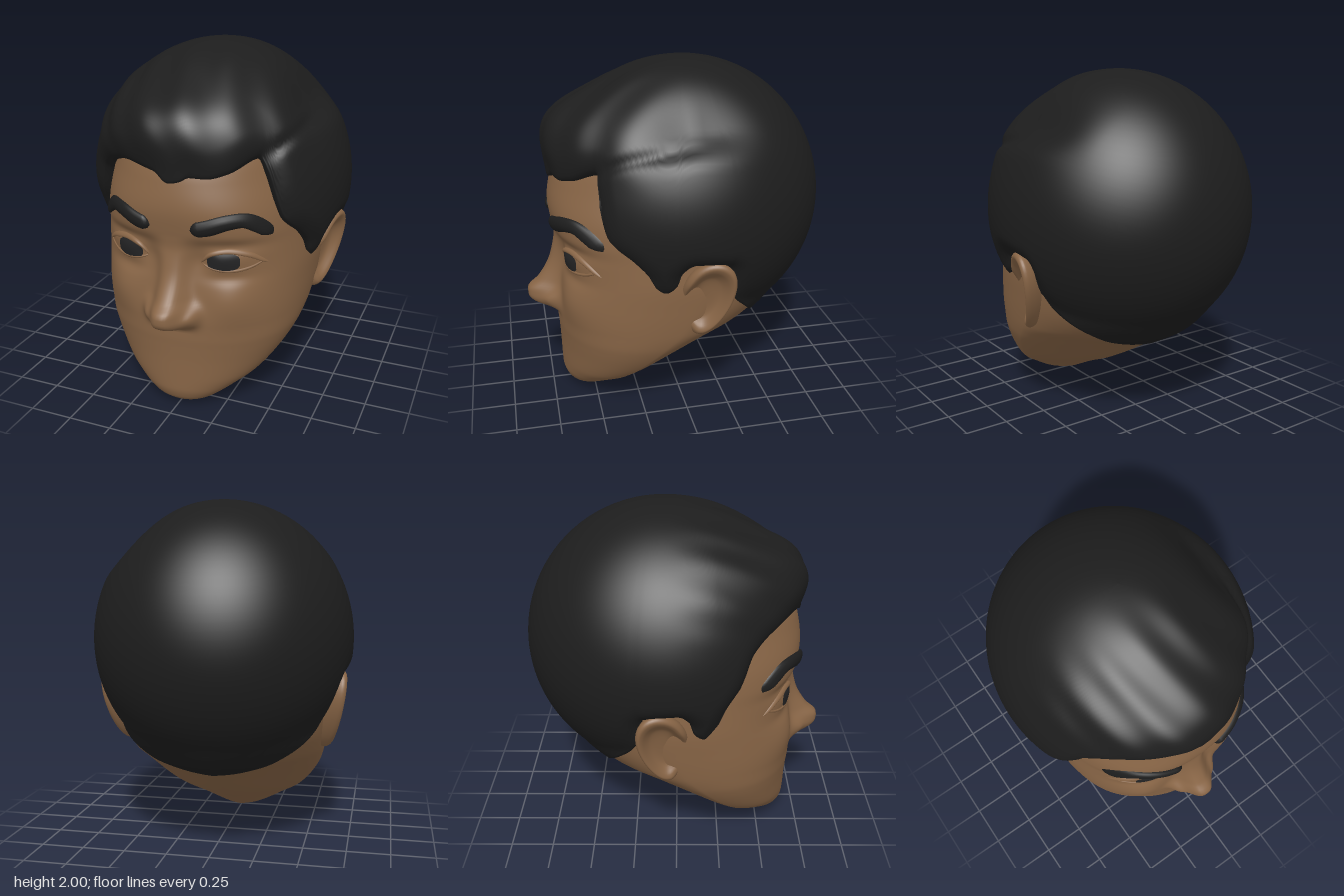
import * as THREE from 'three';

const skin = new THREE.MeshStandardMaterial({ name: 'skin', color: 0x886546 });
const hairMat = new THREE.MeshStandardMaterial({ name: 'black hair', color: 0x1d1d1d });
const irisMat = new THREE.MeshStandardMaterial({ name: 'dark iris', color: 0x232324 });

const clamp = THREE.MathUtils.clamp;
const smooth = THREE.MathUtils.smoothstep;
const bell = (v, s) => Math.exp(-(v * v) / (s * s));
const power = (v, e) => Math.sign(v) * Math.abs(v) ** e;
const rad = Math.PI / 180;

// Smooth table lookup without overshoot; column 0 is the key, column k the value
function look(table, key, k) {
  const n = table.length;
  key = clamp(key, table[0][0], table[n - 1][0]);
  let i = 0;
  while (i < n - 2 && key > table[i + 1][0]) i++;
  const sec = (a) => (table[a + 1][k] - table[a][k]) / (table[a + 1][0] - table[a][0]);
  const slope = (a) => {
    if (a === 0) return sec(0);
    if (a === n - 1) return sec(n - 2);
    const p = sec(a - 1), q = sec(a);
    return p * q <= 0 ? 0 : (2 * p * q) / (p + q);
  };
  const h = table[i + 1][0] - table[i][0], t = (key - table[i][0]) / h;
  const a = t * t * (3 - 2 * t);
  return table[i][k] * (1 - a) + table[i + 1][k] * a +
    h * t * (1 - t) * ((1 - t) * slope(i) - t * slope(i + 1));
}

// Surface from rows of points, each row a closed loop
function loft(rows, cols, at) {
  const pos = [], index = [];
  for (let i = 0; i < rows; i++) for (let j = 0; j < cols; j++) pos.push(...at(i, j));
  for (let i = 0; i < rows - 1; i++) for (let j = 0; j < cols; j++) {
    const a = i * cols + j, b = i * cols + ((j + 1) % cols);
    index.push(a, b, b + cols, a, b + cols, a + cols);
  }
  const g = new THREE.BufferGeometry();
  g.setAttribute('position', new THREE.Float32BufferAttribute(pos, 3));
  g.setIndex(index);
  g.computeVertexNormals();
  return g;
}

// Head slices: height, half width, front z, back z
const SLICES = [
  [0, 0.0005, 0.5305, 0.5295], [0.004, 0.06, 0.58, 0.49], [0.012, 0.1, 0.605, 0.46], [0.03, 0.145, 0.635, 0.42],
  [0.06, 0.2, 0.665, 0.36], [0.12, 0.29, 0.683, 0.24], [0.2, 0.4, 0.685, 0.06], [0.3, 0.485, 0.687, -0.13],
  [0.4, 0.545, 0.692, -0.3], [0.46, 0.57, 0.696, -0.4], [0.55, 0.592, 0.697, -0.55], [0.7, 0.61, 0.682, -0.66],
  [0.85, 0.62, 0.67, -0.72], [0.97, 0.615, 0.68, -0.76], [1.08, 0.605, 0.707, -0.78], [1.2, 0.595, 0.722, -0.79],
  [1.35, 0.58, 0.7, -0.78], [1.5, 0.55, 0.64, -0.72], [1.65, 0.48, 0.52, -0.63], [1.78, 0.36, 0.37, -0.48],
  [1.86, 0.2, 0.18, -0.28], [1.88, 0.01, -0.05, -0.07],
];
// Front and back depths from the widest line, with the roundness of each half
function slice(y) {
  const [w, f, b] = [1, 2, 3].map((k) => look(SLICES, y, k));
  const m = b + (f - b) * 0.49;
  return {
    w, m, front: f - m, back: m - b,
    pf: 2.05 + 0.38 * smooth(y, 0.2, 0.7) * (1 - smooth(y, 1.05, 1.4)),
    pb: 1.38 + 0.62 * smooth(y, 0.3, 0.75),
  };
}

// Nose ridge: height, projection, half breadth
const NOSE = [
  [0.51, 0, 0.11], [0.54, 0.04, 0.108], [0.57, 0.14, 0.105], [0.61, 0.175, 0.102], [0.65, 0.18, 0.097],
  [0.71, 0.125, 0.088], [0.8, 0.075, 0.078], [0.9, 0.04, 0.075], [0.98, 0.015, 0.08], [1.06, 0, 0.085],
];
// Forward relief of the face
function relief(x, y) {
  const ax = Math.abs(x);
  return look(NOSE, y, 1) * Math.exp(-((ax / look(NOSE, y, 2)) ** 3)) +
    0.05 * bell(ax - 0.13, 0.038) * bell(y - 0.615, 0.055) +
    0.035 * bell(ax - 0.34, 0.14) * bell(y - 0.7, 0.13) -
    0.025 * bell(ax - 0.15, 0.06) * bell(y - 0.93, 0.08) -
    0.02 * bell(ax - 0.3, 0.15) * bell(y - 1.01, 0.035) +
    0.01 * bell(ax - 0.3, 0.13) * bell(y - 0.93, 0.05) -
    0.012 * bell(ax - 0.3, 0.12) * bell(y - 0.83, 0.035);
}
function faceZ(x, y) {
  const s = slice(y);
  return s.m + s.front * Math.max(0, 1 - Math.abs(x / s.w) ** s.pf) ** (1 / s.pf) + relief(x, y);
}

function headGeometry() {
  const rows = 150, cols = 200;
  return loft(rows, cols, (i, j) => {
    const t = i / (rows - 1);
    const y = 1.88 * (t < 0.1 ? t * t * 5 : t - 0.05 * (1 - (t - 0.1) / 0.9));
    const s = slice(y), u = (j / cols) * Math.PI * 2, a = u - 0.5 * Math.sin(u);
    const c = Math.cos(a), e = 2 / (c > 0 ? s.pf : s.pb);
    const x = s.w * power(Math.sin(a), e);
    const z = s.m + (c > 0 ? s.front : s.back) * power(c, e);
    return [x, y, z + relief(x, y) * smooth(c, 0, 0.3)];
  });
}

// Hairline: azimuth in degrees from the front (positive to the left side), height
const BACK = [
  [70.5, 0.85], [75, 0.88], [78, 0.97], [84, 1.02], [99, 1], [104, 0.8], [114, 0.69],
  [126, 0.6], [140, 0.525], [160, 0.475], [180, 0.46],
];
const HAIRLINE = [
  ...BACK.map(([a, y]) => [-a, y]).reverse(),
  [-66, 0.91], [-62, 1.02], [-56, 1.13], [-48, 1.3], [-36, 1.38], [-21, 1.418], [-7, 1.4], [0, 1.35], [4, 1.36], [8, 1.385],
  [15, 1.38], [23, 1.4], [37, 1.46], [40.5, 1.36], [43.5, 1.23], [47, 1.13], [57, 1.03], [63, 0.95], [66, 0.88],
  ...BACK,
];
const C = new THREE.Vector3(0, 1.2, -0.07);
const inside = (x, y, z) => {
  if (y <= 0 || y >= 1.88) return false;
  const s = slice(y), d = z - s.m, p = d > 0 ? s.pf : s.pb;
  return Math.abs(x / s.w) ** p + Math.abs(d / (d > 0 ? s.front : s.back)) ** p < 1;
};
function reach(test) {
  let lo = 0, hi = 1.6;
  for (let k = 0; k < 20; k++) {
    const mid = (lo + hi) / 2;
    if (test(mid)) lo = mid; else hi = mid;
  }
  return lo;
}
const PARTING = new THREE.Vector3(-0.584, 0.81, 0.056).normalize();

// Full hair radius in a direction: rounded cap, swept quiff and side parting
function hairRadius(d) {
  let r = 1 / Math.sqrt((d.x / 0.757) ** 2 + (d.y / 0.8) ** 2 + (d.z / 0.8) ** 2);
  r += 0.11 * smooth(d.z, 0, 0.35) * bell(d.x + 0.07, 0.47) * bell(d.y - 0.51, 0.22);
  const g = d.dot(PARTING), left = smooth(d.x, 0.05, 0.35);
  // Narrow crease towards the front, wider flattening above the parting further back
  r -= 0.02 * left * smooth(d.z, -0.1, 0.35) * bell(g, 0.04);
  r -= 0.06 * left * smooth(g, -0.16, 0.13) * bell(Math.max(0, g - 0.12), 0.3) *
    smooth(d.z, -0.6, 0) * (1 - smooth(d.z, 0.1, 0.6));
  return r + 0.006 * smooth(d.z, 0, 0.5) * smooth(d.y, 0.25, 0.5) * Math.sin(22 * (d.x + 0.5 * d.y));
}

function hairGeometry() {
  const rows = 52, cols = 400, edge = [];
  for (let j = 0; j < cols; j++) {
    const deg = (j / cols) * 360, az = deg > 180 ? deg - 360 : deg, y = look(HAIRLINE, az, 1);
    const sx = Math.sin(az * rad), cz = Math.cos(az * rad);
    const h = reach((q) => inside(q * sx, y, C.z + q * cz));
    edge.push(new THREE.Vector3(h * sx, y - C.y, h * cz).normalize());
  }
  return loft(rows, cols, (i, j) => {
    const e = edge[j], t = i < 2 ? 0 : ((i - 1) / (rows - 2)) ** 1.15;
    const low = Math.asin(e.y), el = low + (Math.PI / 2 - low) * t;
    const a = Math.atan2(e.x, e.z);
    const d = new THREE.Vector3(Math.cos(el) * Math.sin(a), Math.sin(el), Math.cos(el) * Math.cos(a));
    const sr = reach((q) => inside(q * d.x, C.y + q * d.y, C.z + q * d.z));
    let near = -1;
    for (const v of edge) near = Math.max(near, v.dot(d));
    const gap = clamp(Math.acos(Math.min(1, near)) / 0.17, 0, 1);
    const base = sr + 0.015, full = Math.max(hairRadius(d), base);
    // Rounded lip at the hairline, tucked into the skin on the first row
    const r = i === 0 ? sr * 0.95 : base + (full - base) * Math.sqrt(1 - (1 - gap) ** 2);
    return d.multiplyScalar(r).add(C).toArray();
  });
}

// Strip lying on the face: points are x, y, half height; mirrored by side
function faceStrip(points, depth, side) {
  const curve = new THREE.CatmullRomCurve3(points.map(([x, y, h]) => new THREE.Vector3(x * side, y, h)));
  const rows = 33, cols = 12;
  return loft(rows, cols, (i, j) => {
    const t = i / (rows - 1), p = curve.getPoint(t), k = curve.getTangent(t);
    const len = Math.hypot(k.x, k.y), a = (j / cols) * Math.PI * 2;
    const end = Math.sqrt(Math.min(1, Math.min(t, 1 - t) * 12));
    const off = p.z * end * Math.cos(a);
    const x = p.x - (k.y / len) * off, y = p.y + (k.x / len) * off;
    return [x, y, faceZ(x, y) + depth * end * Math.sin(a)];
  });
}
const BROW = [[0.115, 1.108, 0.04], [0.2, 1.125, 0.045], [0.3, 1.156, 0.042], [0.38, 1.16, 0.038], [0.44, 1.12, 0.034], [0.49, 1.06, 0.022]];
const UPPER_LID = [[0.15, 0.91, 0.006], [0.21, 0.968, 0.013], [0.3, 0.987, 0.014], [0.4, 0.962, 0.013], [0.48, 0.9, 0.006]];
const LOWER_LID = [[0.16, 0.905, 0.005], [0.22, 0.885, 0.008], [0.31, 0.873, 0.009], [0.4, 0.89, 0.008], [0.46, 0.92, 0.005]];

// Iris plate cut off by the lids
function irisGeometry(side) {
  const rows = 6, cols = 28;
  return loft(rows, cols, (i, j) => {
    const q = 1 - i / (rows - 1), a = (j / cols) * Math.PI * 2;
    const x = side * 0.273 + 0.084 * q * power(Math.cos(a), 0.7);
    const y = 0.928 + 0.048 * q * power(Math.sin(a), 0.6);
    return [x, y, faceZ(x, y) + 0.006];
  });
}

// Ear bowl: step, ring radius and outward height from the hollow over the rim to the back
const EAR = [
  [0, 0, -0.01], [1, 0.3, -0.008], [2, 0.52, 0], [3, 0.66, 0.02], [4, 0.78, 0.042], [5, 0.88, 0.05],
  [6, 0.96, 0.04], [7, 1, 0.02], [8, 0.97, -0.01], [9, 0.85, -0.05], [10, 0.65, -0.12],
];
function earGeometry(side) {
  const cols = 48, rows = 31;
  return loft(rows, cols, (i, j) => {
    const q = (i / (rows - 1)) * (EAR.length - 1), a = (j / cols) * Math.PI * 2;
    const r = look(EAR, q, 1), v = r * Math.cos(a), u = -side * r * Math.sin(a);
    // The rim sinks into the cheek at the front
    const h = look(EAR, q, 2) - 0.045 * smooth(u, 0.1, 0.8) * smooth(0.5 - v, 0, 0.6);
    const z = -0.07 - 0.035 * v + 0.135 * u * (1 + 0.25 * v);
    return [side * (0.627 + h + 0.05 * v - 0.035 * u), 0.795 + 0.235 * v, z];
  });
}

export function createModel() {
  const model = new THREE.Group();
  model.name = 'head';
  const add = (name, geometry, material) => {
    const mesh = new THREE.Mesh(geometry, material);
    mesh.name = name;
    model.add(mesh);
  };
  add('face', headGeometry(), skin);
  add('hair', hairGeometry(), hairMat);
  for (const [label, side] of [['left', 1], ['right', -1]]) {
    add(label + 'Ear', earGeometry(side), skin);
    add(label + 'Eyebrow', faceStrip(BROW, 0.028, side), hairMat);
    add(label + 'UpperEyelid', faceStrip(UPPER_LID, 0.014, side), skin);
    add(label + 'LowerEyelid', faceStrip(LOWER_LID, 0.008, side), skin);
    add(label + 'Iris', irisGeometry(side), irisMat);
  }
  return model;
}
